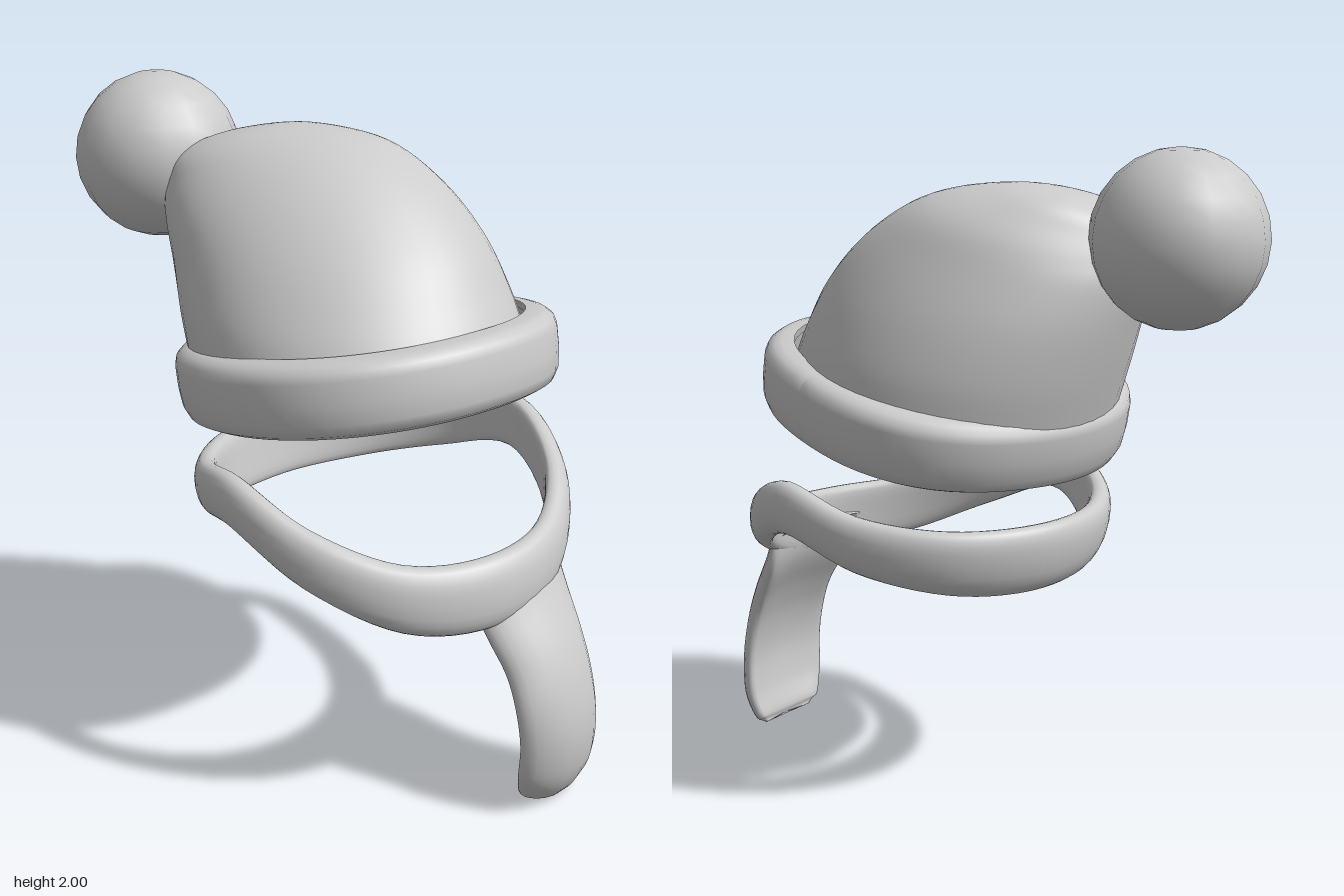
import * as THREE from 'three';

const V = (x, y, z) => new THREE.Vector3(x, y, z);
const material = new THREE.MeshStandardMaterial({ color: 0xcccccc, side: THREE.DoubleSide });

function part(name, geometry) {
  const mesh = new THREE.Mesh(geometry, material);
  mesh.name = name;
  return mesh;
}

// Skin a list of closed cross-section loops; join the last to the first for a ring
function skin(loops, ring = false) {
  const n = loops[0].length, m = loops.length, index = [];
  for (let i = 0; i < (ring ? m : m - 1); i++) {
    for (let j = 0; j < n; j++) {
      const a = i * n + j, b = i * n + (j + 1) % n;
      const c = ((i + 1) % m) * n + j, d = ((i + 1) % m) * n + (j + 1) % n;
      index.push(a, b, c, b, d, c);
    }
  }
  const g = new THREE.BufferGeometry().setFromPoints(loops.flat());
  g.setIndex(index);
  g.computeVertexNormals();
  return g;
}

// Rounded flat strip section: w runs across the strip, t through it
function strip(center, w, t, halfW, halfT, bend, n = 24) {
  return Array.from({ length: n }, (_, j) => {
    const a = j / n * Math.PI * 2, c = Math.cos(a), s = Math.sin(a);
    const u = Math.sign(c) * Math.abs(c) ** 0.75;
    const v = Math.sign(s) * Math.abs(s) ** 0.75;
    return center.clone().addScaledVector(w, u * halfW)
      .addScaledVector(t, v * halfT - bend * u * u);
  });
}

const spline = (points, closed = false) => new THREE.CatmullRomCurve3(points, closed, 'catmullrom', 0.5);

// Crown: ovals between a front line and a back line, leaning back to the tip
function crownGeometry() {
  const front = spline([[1.40, .56], [1.48, .50], [1.62, .38], [1.76, .2], [1.86, 0],
    [1.89, -.2], [1.865, -.35], [1.83, -.42]].map(([y, z]) => V(0, y, z)));
  const back = spline([[1.18, -.445], [1.33, -.487], [1.48, -.52], [1.6, -.535], [1.67, -.525],
    [1.73, -.505], [1.785, -.475], [1.83, -.42]].map(([y, z]) => V(0, y, z)));
  // middle x, half width and diagonal skew towards the tip
  const width = spline([[-.025, .49, 0], [-.03, .468, .06], [-.038, .42, .18], [-.06, .362, .33],
    [-.088, .298, .42], [-.14, .21, .44], [-.17, .115, .44], [-.19, 0, .44]].map(p => V(...p)));
  const loops = [];
  for (let i = 0; i <= 40; i++) {
    const f = front.getPoint(i / 40), b = back.getPoint(i / 40), w = width.getPoint(i / 40);
    const mid = f.clone().add(b).multiplyScalar(.5), half = f.clone().sub(mid);
    loops.push(Array.from({ length: 48 }, (_, j) => {
      const a = j / 48 * Math.PI * 2;
      return mid.clone().addScaledVector(half, Math.cos(a))
        .add(V(w.x + Math.max(0, w.y) * Math.sin(a + w.z), 0, 0));
    }));
  }
  return skin(loops);
}

// Folded cuff: a turned profile, a little fuller at the back and the left diagonals
function cuffGeometry() {
  const profile = [[.465, .2], [.474, .1], [.482, .02], [.488, .003], [.5, 0], [.526, .013], [.541, .045],
    [.547, .1], [.547, .165], [.54, .19], [.522, .207], [.5, .215], [.465, .22]];
  const g = new THREE.LatheGeometry(profile.map(([r, y]) => new THREE.Vector2(r, y)), 64, Math.PI / 2);
  const pos = g.attributes.position;
  for (let i = 0; i < pos.count; i++) {
    const x = pos.getX(i), z = pos.getZ(i), r = Math.hypot(x, z);
    const k = 1 + (x > 0 ? .065 : .015) * (2 * x * z / (r * r)) ** 2 + (z < 0 ? .02 : 0) * (z / r) ** 2;
    pos.setX(i, x * k);
    pos.setZ(i, z * k);
  }
  g.computeVertexNormals();
  return g;
}

// Neck wrap: a band that dips at the front and rises over the shoulders
function wrapGeometry() {
  const heights = [.712, .735, .832, .925, .858, .815, .805, .815, .858, .925, .832, .735];
  const path = spline(heights.map((y, i) => {
    const a = i / 12 * Math.PI * 2;
    return V(.53 * Math.sin(a), y, .17 + .54 * Math.cos(a));
  }), true);
  const loops = [];
  for (let i = 0; i < 72; i++) {
    const a = i / 72 * Math.PI * 2;
    const out = V(Math.sin(a), 0, Math.cos(a));
    const up = V(0, 1, 0).addScaledVector(out, .05 - .15 * Math.cos(a));
    const halfW = .094 + .012 * Math.cos(2 * a);
    loops.push(strip(path.getPoint(i / 72), up, out, halfW, .038, .012));
  }
  return skin(loops, true);
}

// Tail: a cupped strip hanging from the wrap, bulging forward
function tailGeometry() {
  const path = spline([V(.175, .74, .655), V(.18, .63, .695), V(.19, .5, .772), V(.196, .38, .822),
    V(.208, .25, .842), V(.216, .12, .825), V(.217, .03, .785), V(.214, .003, .77)]);
  // half width, half thickness and cupping
  const size = spline([[.22, .02, .06], [.205, .04, .055], [.182, .045, .05], [.18, .045, .05], [.18, .045, .055],
    [.178, .045, .055], [.15, .035, .045], [.11, .012, .03]].map(p => V(...p)));
  const across = V(Math.cos(.31), 0, -Math.sin(.31));
  const loops = [];
  for (let i = 0; i <= 32; i++) {
    const s = size.getPoint(i / 32);
    const t = path.getTangent(i / 32).cross(across).normalize();
    if (t.z < 0) t.negate();
    loops.push(strip(path.getPoint(i / 32), across, t, s.x, s.y, s.z));
  }
  // close both ends
  for (const end of [0, loops.length - 1]) {
    const c = loops[end].reduce((sum, p) => sum.add(p), V(0, 0, 0)).divideScalar(loops[end].length);
    const cap = loops[end].map(() => c.clone());
    if (end) loops.push(cap); else loops.unshift(cap);
  }
  return skin(loops);
}

export function createModel() {
  const model = new THREE.Group();
  model.name = 'winterHatAndScarf';

  const hat = new THREE.Group();
  hat.name = 'hat';
  const cuff = part('cuff', cuffGeometry());
  cuff.position.set(-.025, 1.127, .122);
  cuff.rotation.x = -.205;
  const pompom = part('pompom', new THREE.SphereGeometry(.255, 16, 12));
  pompom.position.set(-.285, 1.745, -.637);
  hat.add(part('crown', crownGeometry()), cuff, pompom);

  const scarf = new THREE.Group();
  scarf.name = 'scarf';
  scarf.add(part('neckWrap', wrapGeometry()), part('tail', tailGeometry()));

  model.add(hat, scarf);
  return model;
}
